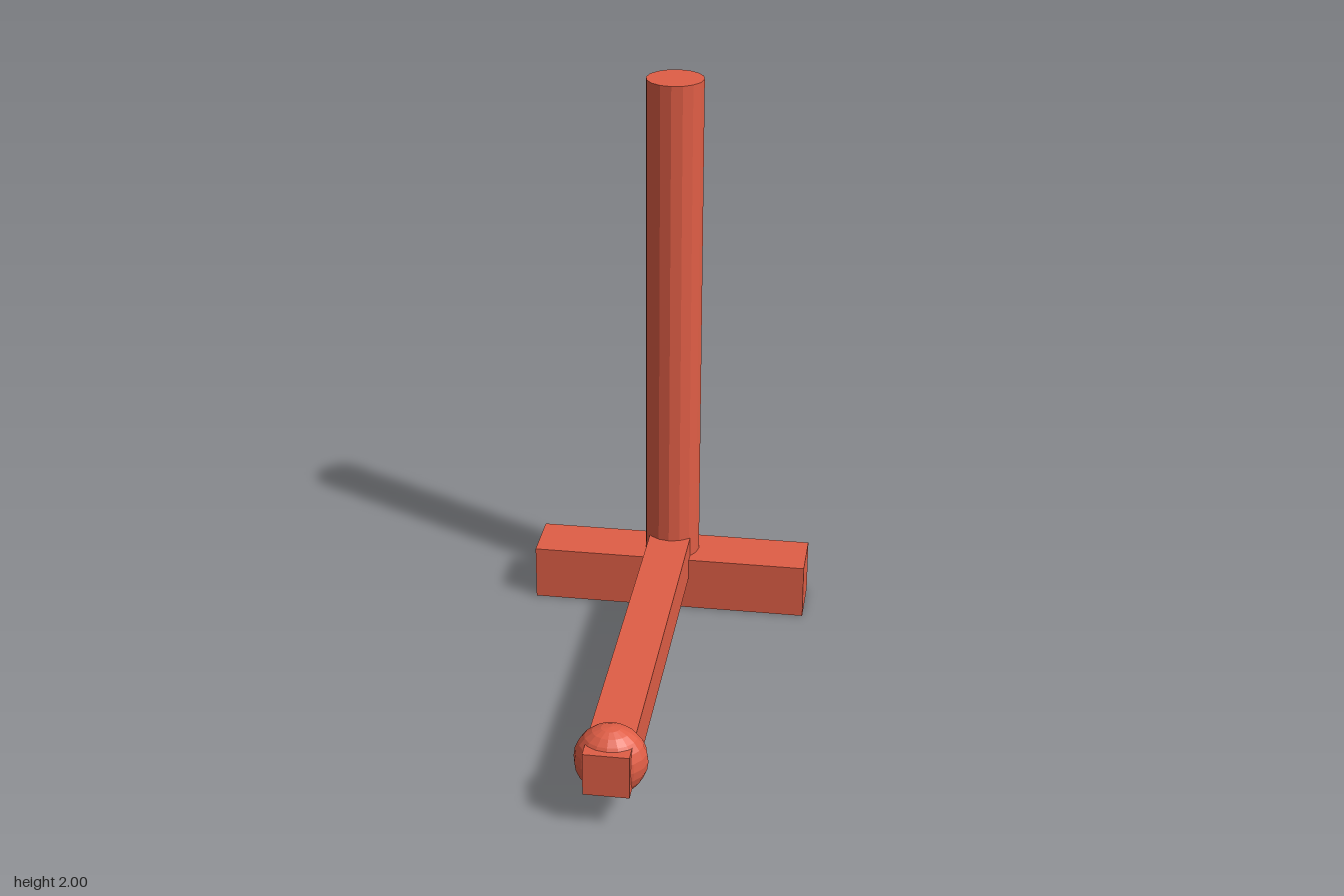
import * as THREE from 'three';

export function createModel() {
  const model = new THREE.Group();
  const red = new THREE.MeshStandardMaterial({ color: 0xe05e46 });
  red.name = 'warm red';
  red.flatShading = true;

  function add(name, geometry, x, y, z) {
    const mesh = new THREE.Mesh(geometry, red);
    mesh.name = name;
    mesh.position.set(x, y, z);
    model.add(mesh);
    return mesh;
  }

  // Cross foot at the back
  add('crossFoot', new THREE.BoxGeometry(1, 0.2, 0.2), 0, 0.1, -0.7);
  // Upright post standing on the foot
  add('post', new THREE.CylinderGeometry(0.1, 0.1, 1.8, 16), 0, 1.1, -0.7);
  // Long beam running forward from the foot
  add('beam', new THREE.BoxGeometry(0.15, 0.15, 1.6), 0, 0.2, 0);
  // Flattened knob around the front end of the beam
  const knob = new THREE.SphereGeometry(0.12, 16, 12).scale(1, 1, 0.1 / 0.12);
  add('knob', knob, 0, 0.2, 0.7);

  return model;
}
